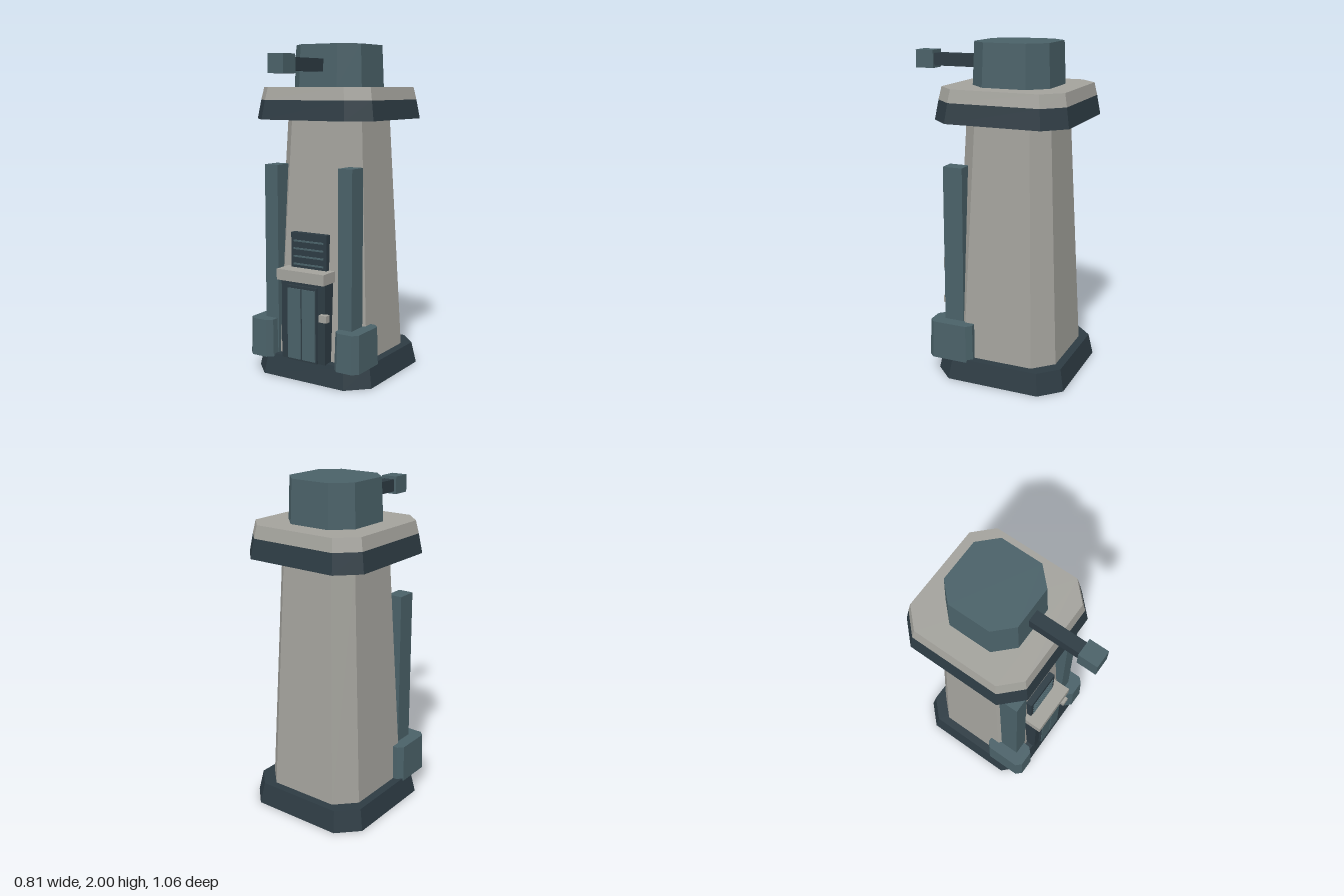
import * as THREE from 'three';

const material = (name, color) => {
  const m = new THREE.MeshStandardMaterial({ color });
  m.name = name;
  return m;
};

// Eight-sided ring: a rectangle with cut corners, counter-clockwise from above
function ring(hx, hz, c, y) {
  return [
    [hx, hz - c], [hx, c - hz], [hx - c, -hz], [c - hx, -hz],
    [-hx, c - hz], [-hx, hz - c], [c - hx, hz], [hx - c, hz],
  ].map(([x, z]) => [x, y, z]);
}

// Closed flat-shaded solid between a bottom ring and a top ring
function frustum(bottom, top) {
  const n = bottom.length;
  const index = [];
  for (let i = 0; i < n; i++) {
    const j = (i + 1) % n;
    index.push(i, j, n + j, i, n + j, n + i);
    if (i > 0 && i < n - 1) index.push(0, i + 1, i, n, n + i, n + i + 1);
  }
  const g = new THREE.BufferGeometry();
  g.setAttribute('position', new THREE.Float32BufferAttribute([...bottom, ...top].flat(), 3));
  g.setIndex(index);
  const flat = g.toNonIndexed();
  flat.computeVertexNormals();
  return flat;
}

export function createModel() {
  const slate = material('slateBlue', 0x4a6168);
  const dark = material('darkSteel', 0x2d3b43);
  const stone = material('paleStone', 0xa3a29c);

  const model = new THREE.Group();
  model.name = 'watchtower';

  const add = (name, geometry, mat, x = 0, y = 0, z = 0) => {
    const mesh = new THREE.Mesh(geometry, mat);
    mesh.name = name;
    mesh.position.set(x, y, z);
    model.add(mesh);
    return mesh;
  };
  // Box given by its limits on each axis
  const box = (name, mat, [x0, x1], [y0, y1], [z0, z1]) =>
    add(name, new THREE.BoxGeometry(x1 - x0, y1 - y0, z1 - z0), mat,
      (x0 + x1) / 2, (y0 + y1) / 2, (z0 + z1) / 2);
  // Square tower section with cut corners: half width and cut at each end
  const section = (name, mat, y0, y1, h0, c0, h1, c1) =>
    add(name, frustum(ring(h0, h0, c0, y0), ring(h1, h1, c1, y1)), mat, 0, 0, -0.123);

  // Tower, from the ground up
  section('base', dark, 0, 0.13, 0.407, 0.12, 0.382, 0.112);
  section('shaft', stone, 0.13, 1.56, 0.332, 0.114, 0.262, 0.094);
  section('collar', dark, 1.56, 1.675, 0.407, 0.12, 0.388, 0.114);
  section('collarCap', stone, 1.675, 1.75, 0.388, 0.114, 0.373, 0.11);
  section('turret', slate, 1.75, 2, 0.238, 0.106, 0.228, 0.101);

  // Gun
  box('barrel', dark, [-0.036, 0.036], [1.84, 1.914], [0.06, 0.425]);
  box('muzzle', slate, [-0.052, 0.052], [1.825, 1.932], [0.415, 0.53]);

  // Buttresses and their feet
  for (const side of [-1, 1]) {
    const label = side > 0 ? 'left' : 'right';
    add(label + 'Buttress', new THREE.BoxGeometry(0.094, 1.175, 0.122), slate,
      side * 0.261, 0.7025, 0.167);
    add(label + 'Foot',
      frustum(ring(0.084, 0.143, 0.033, 0.115), ring(0.079, 0.137, 0.031, 0.345)),
      slate, side * 0.304, 0, 0.166);
  }

  // Doorway
  box('doorFrame', dark, [-0.157, 0.154], [0.125, 0.612], [0.1, 0.273]);
  box('door', dark, [-0.106, 0.102], [0.125, 0.585], [0.25, 0.287]);
  for (const x of [-0.055, 0.048]) {
    box('doorPanel', slate, [x - 0.046, x + 0.046], [0.137, 0.568], [0.285, 0.293]);
  }
  box('doorHandle', stone, [0.13, 0.181], [0.392, 0.435], [0.265, 0.304]);
  box('lintel', stone, [-0.168, 0.165], [0.612, 0.678], [0.12, 0.308]);

  // Vent with slats
  box('vent', dark, [-0.128, 0.123], [0.678, 0.89], [0.1, 0.212]);
  for (let i = 0; i < 4; i++) {
    const y = 0.7 + i * 0.047;
    box('ventSlat', slate, [-0.108, 0.104], [y - 0.005, y + 0.005], [0.21, 0.218]);
  }

  return model;
}
